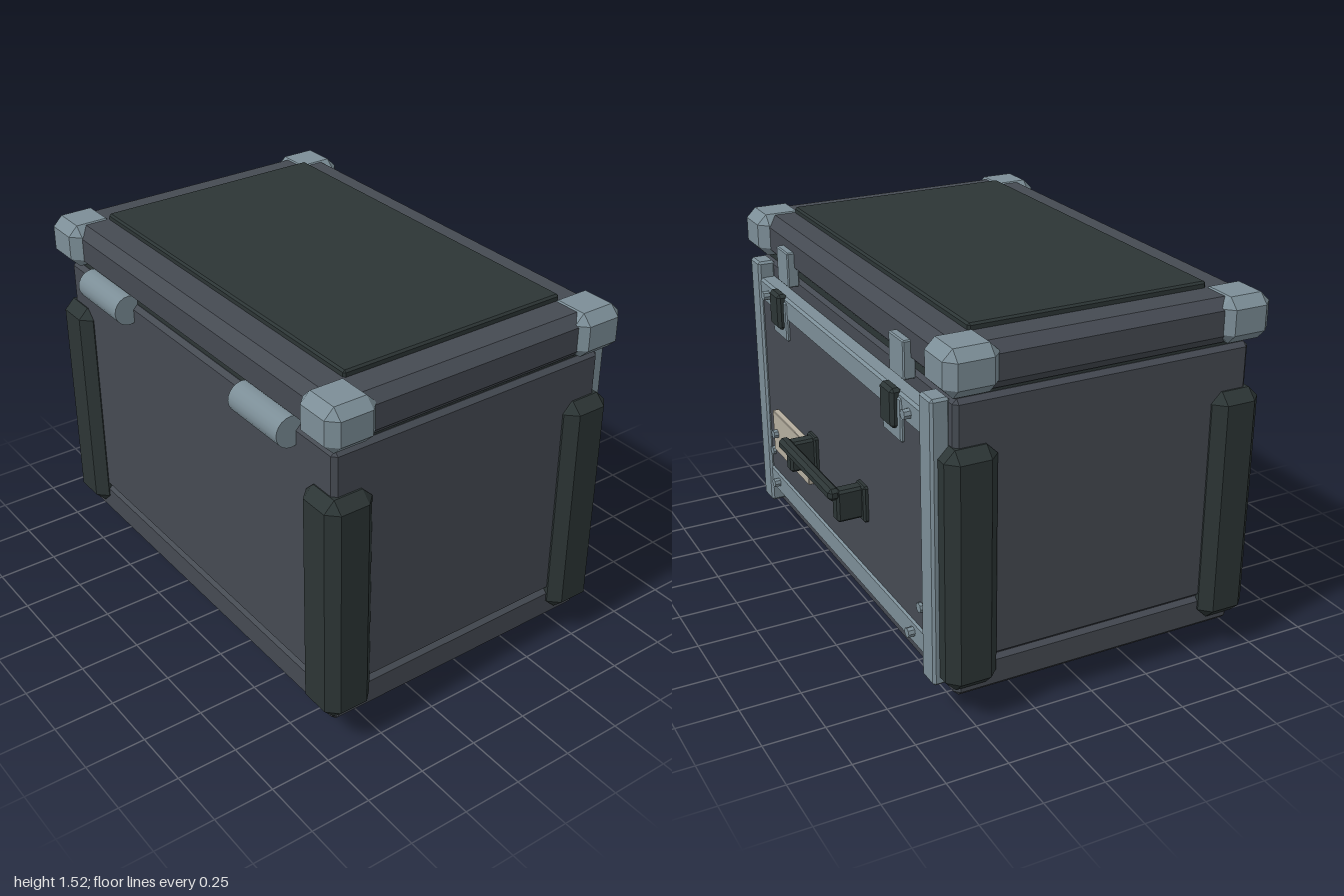
import * as THREE from 'three';
import { ConvexGeometry } from 'three/addons/geometries/ConvexGeometry.js';

const paint = (color) => new THREE.MeshStandardMaterial({ color, flatShading: true });

// Box between two corners with every edge and corner cut off by c
function chamferBox(min, max, c) {
  const points = [];
  for (const sx of [0, 1]) for (const sy of [0, 1]) for (const sz of [0, 1]) {
    const s = [sx, sy, sz];
    for (let full = 0; full < 3; full++) {
      const p = s.map((v, i) => {
        const cut = i === full ? 0 : c;
        return v ? max[i] - cut : min[i] + cut;
      });
      points.push(new THREE.Vector3(...p));
    }
  }
  return new ConvexGeometry(points);
}

export function createModel() {
  const model = new THREE.Group();
  model.name = 'equipmentCase';
  const shell = paint(0x454a52);
  const rubber = paint(0x2c3535);
  const metal = paint(0x7c8e97);
  const cream = paint(0xb5ae9f);

  const add = (name, geometry, material) => {
    const mesh = new THREE.Mesh(geometry, material);
    mesh.name = name;
    model.add(mesh);
    return mesh;
  };
  const block = (name, material, x, y, z, c) =>
    add(name, chamferBox([x[0], y[0], z[0]], [x[1], y[1], z[1]], c), material);
  // Range along x mirrored to the chosen side
  const side = (s, a, b) => (s > 0 ? [a, b] : [-b, -a]);
  const screw = (x, y, zTip, length) => {
    const g = new THREE.CylinderGeometry(0.02, 0.02, length, 8).rotateX(Math.PI / 2);
    add('screw', g.translate(x, y, zTip + length / 2), metal);
  };

  // Case body, base band, neck and lid
  block('base', shell, [-0.94, 0.94], [0.1, 0.245], [-0.555, 0.68], 0.022);
  block('body', shell, [-0.94, 0.94], [0.24, 1.3], [-0.555, 0.68], 0.018);
  block('neck', rubber, [-0.92, 0.92], [1.28, 1.34], [-0.54, 0.66], 0.005);
  block('lid', shell, [-0.97, 0.97], [1.315, 1.495], [-0.57, 0.695], 0.04);
  block('lidPad', rubber, [-0.82, 0.82], [1.47, 1.52], [-0.44, 0.55], 0.008);

  // Lid corners, side bumpers and feet
  for (const s of [1, -1]) {
    const label = s > 0 ? 'left' : 'right';
    for (const [end, z] of [['Front', [0.52, 0.735]], ['Back', [-0.61, -0.39]]]) {
      block(label + end + 'LidCorner', metal, side(s, 0.785, 1), [1.32, 1.5], z, 0.04);
    }
    for (const [end, z] of [['Front', [0.52, 0.727]], ['Back', [-0.6, -0.39]]]) {
      block(label + end + 'Bumper', rubber, side(s, 0.78, 0.99), [0.145, 1.12], z, 0.043);
    }
    for (const [end, z] of [['Front', [0.362, 0.552]], ['Back', [-0.426, -0.236]]]) {
      block(label + end + 'Foot', rubber, side(s, 0.545, 0.735), [0, 0.14], z, 0.025);
    }

    // Hinge barrel on the front
    const barrel = new THREE.CylinderGeometry(0.063, 0.063, 0.305, 20).rotateZ(Math.PI / 2);
    const hinge = add(label + 'Hinge', barrel.translate(s * 0.565, 1.285, 0.7), metal.clone());
    hinge.material.flatShading = false;
  }

  // Back panel framed by posts and rails
  block('backPanel', shell, [-0.83, 0.83], [0.25, 1.21], [-0.61, -0.54], 0.005);
  for (const s of [1, -1]) {
    block('framePost', metal, side(s, 0.8, 0.9), [0.15, 1.3], [-0.625, -0.55], 0.01);
    screw(s * 0.77, 0.42, -0.623, 0.03);
    screw(s * 0.71, 0.285, -0.645, 0.04);
    screw(s * 0.71, 1.18, -0.645, 0.04);
  }
  for (const y of [0.28, 1.18]) {
    block('frameRail', metal, [-0.81, 0.81], [y - 0.05, y + 0.05], [-0.618, -0.54], 0.01);
  }

  // Latches: keeper on the lid, base plate on the rail, lever over both
  for (const s of [1, -1]) {
    const label = s > 0 ? 'left' : 'right';
    block(label + 'LatchKeeper', metal, side(s, 0.505, 0.63), [1.27, 1.42], [-0.6, -0.55], 0.005);
    block(label + 'LatchPlate', metal, side(s, 0.49, 0.65), [1.04, 1.21], [-0.624, -0.59], 0.006);
    block(label + 'LatchLever', rubber, side(s, 0.515, 0.622), [1.085, 1.24], [-0.648, -0.6], 0.013);
  }

  // Carry handle on the back
  for (const s of [1, -1]) {
    block('handleFoot', rubber, side(s, 0.215, 0.3), [0.55, 0.705], [-0.63, -0.6], 0.008);
    block('handleLeg', rubber, side(s, 0.222, 0.28), [0.565, 0.7], [-0.732, -0.6], 0.01);
  }
  block('handleBar', rubber, [-0.28, 0.28], [0.663, 0.713], [-0.765, -0.715], 0.014);

  // Blank label plate with its two screws
  block('labelPlate', cream, [0.285, 0.695], [0.46, 0.65], [-0.636, -0.6], 0.003);
  for (const x of [0.345, 0.65]) screw(x, 0.555, -0.656, 0.03);

  return model;
}
